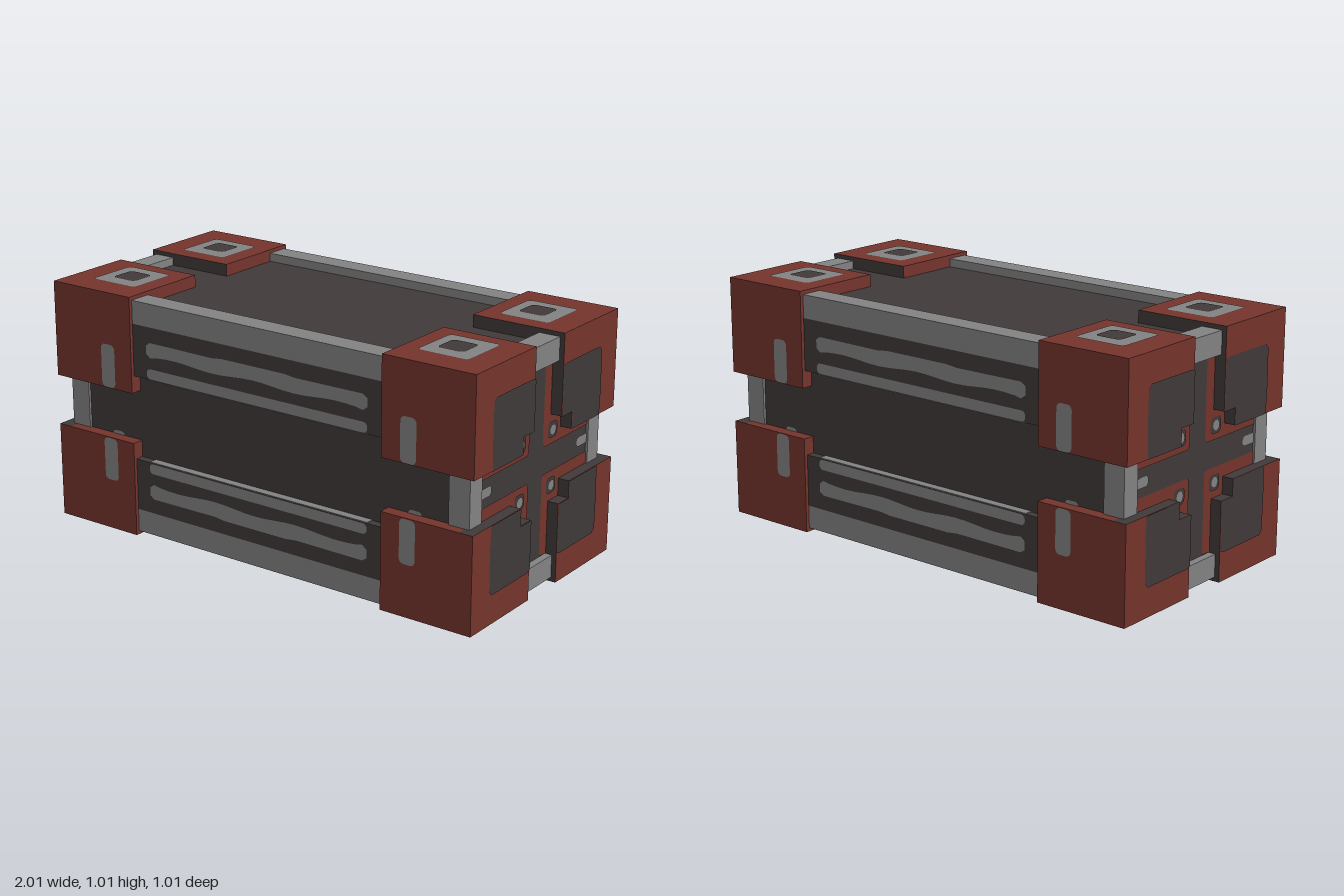
import * as THREE from 'three';

const red = new THREE.MeshStandardMaterial({ color: 0x74342c, name: 'rust red' });
const gray = new THREE.MeshStandardMaterial({ color: 0x828282, name: 'steel gray' });
const dark = new THREE.MeshStandardMaterial({ color: 0x403a39, name: 'charcoal' });
const SIGNS = [1, -1];

// Box between two corners, given relative to the crate centre
function box(parent, name, material, a, b) {
  const size = a.map((v, i) => Math.abs(b[i] - v));
  const mesh = new THREE.Mesh(new THREE.BoxGeometry(...size), material);
  mesh.position.set(...a.map((v, i) => (v + b[i]) / 2));
  mesh.name = name;
  parent.add(mesh);
  return mesh;
}

// Flat painted face lying at a given depth
function paint(parent, name, material, shape, depth) {
  const mesh = new THREE.Mesh(new THREE.ShapeGeometry(shape, 6), material);
  mesh.position.z = depth;
  mesh.name = name;
  parent.add(mesh);
}

function polygon(points, su, sv) {
  return new THREE.Shape(points.map(([u, v]) => new THREE.Vector2(u * su, v * sv)));
}

// Rounded rectangle mirrored into a quadrant by su, sv
function rounded(u0, v0, u1, v1, r, su = 1, sv = 1) {
  const pts = [];
  const corners = [[u1 - r, v1 - r], [u0 + r, v1 - r], [u0 + r, v0 + r], [u1 - r, v0 + r]];
  corners.forEach(([u, v], c) => {
    for (let i = 0; i <= 4; i++) {
      const t = (c + i / 4) * Math.PI / 2;
      pts.push([u + r * Math.cos(t), v + r * Math.sin(t)]);
    }
  });
  return polygon(pts, su, sv);
}

// Worn stripe whose lower edge ripples
function wavyStripe(sv) {
  const pts = [[-0.53, 0.28], [-0.51, 0.265]];
  for (let i = 0; i <= 20; i++) {
    const u = -0.48 + i * 0.048;
    pts.push([u, 0.27 + 0.006 * Math.cos(u * 16)]);
  }
  pts.push([0.51, 0.265], [0.53, 0.28], [0.53, 0.315], [0.51, 0.328],
    [0.2, 0.326], [0.15, 0.332], [-0.15, 0.332], [-0.2, 0.326], [-0.51, 0.328], [-0.53, 0.315]);
  return polygon(pts, 1, sv);
}

function addFace(parent, name, rx, ry) {
  const face = new THREE.Group();
  face.name = name;
  face.rotation.set(rx, ry, 0);
  parent.add(face);
  return face;
}

// Long sides: stripes and the tabs on the corner blocks
function paintLongSide(face) {
  for (const sv of SIGNS) {
    paint(face, 'wornStripe', gray, wavyStripe(sv), 0.488);
    paint(face, 'edgeStripe', gray, rounded(-0.53, 0.178, 0.53, 0.22, 0.018, 1, sv), 0.488);
    for (const su of SIGNS) {
      paint(face, 'cornerTab', gray, rounded(0.685, 0.108, 0.755, 0.287, 0.02, su, sv), 0.503);
      paint(face, 'tabTip', gray, rounded(0.69, 0.09, 0.75, 0.13, 0.015, su, sv), 0.453);
    }
  }
}

// Top and bottom: framed sockets on the corner blocks
function paintCap(face) {
  for (const su of SIGNS) for (const sv of SIGNS) {
    paint(face, 'socketFrame', gray, rounded(0.673, 0.165, 0.892, 0.388, 0.02, su, sv), 0.503);
    paint(face, 'socketCentre', dark, rounded(0.722, 0.222, 0.835, 0.333, 0.02, su, sv), 0.506);
  }
}

// Ends: dark block panels, red cross border, bolts
function paintEnd(face) {
  for (const su of SIGNS) {
    paint(face, 'pillarMark', gray, rounded(0.305, -0.02, 0.385, 0.02, 0.015, su), 0.953);
    for (const sv of SIGNS) {
      paint(face, 'blockPanel', dark, polygon([[0.175, 0.105], [0.38, 0.105], [0.385, 0.2],
        [0.383, 0.365], [0.365, 0.382], [0.12, 0.382], [0.1, 0.375], [0.1, 0.175],
        [0.175, 0.175]], su, sv), 1.003);
      paint(face, 'crossBorder', red, polygon([[0.06, 0.055], [0.38, 0.055], [0.38, 0.12],
        [0.19, 0.12], [0.19, 0.19], [0.12, 0.19], [0.12, 0.39], [0.05, 0.385],
        [0.05, 0.065]], su, sv), 0.953);
      paint(face, 'boltRing', dark, rounded(0.08, 0.08, 0.147, 0.145, 0.02, su, sv), 0.956);
      const bolt = new THREE.Shape().absarc(su * 0.113, sv * 0.112, 0.022, 0, Math.PI * 2);
      paint(face, 'bolt', gray, bolt, 0.959);
    }
  }
}

// Corner block with a notch cut from the inner corner of its end
function addCornerBlock(parent, sx, sy, sz) {
  const block = new THREE.Group();
  block.name = 'cornerBlock';
  parent.add(block);
  // Inward z faces are dark, the rest red
  const skin = [red, red, red, red, sz > 0 ? red : dark, sz > 0 ? dark : red];
  const capSkin = skin.slice();
  capSkin[sy > 0 ? 3 : 2] = dark;
  const part = (name, mat, a, b) => box(block, name, mat,
    [a[0] * sx, a[1] * sy, a[2] * sz], [b[0] * sx, b[1] * sy, b[2] * sz]);
  part('blockBody', skin, [0.6, 0.105, 0.1], [0.94, 0.5, 0.5]);
  part('blockEndOuter', capSkin, [0.94, 0.105, 0.175], [1, 0.5, 0.5]);
  part('blockEndInner', capSkin, [0.94, 0.175, 0.1], [1, 0.5, 0.175]);
}

export function createModel() {
  const model = new THREE.Group();
  model.name = 'crate';
  const crate = new THREE.Group();
  crate.name = 'crateParts';
  crate.position.y = 0.5;
  model.add(crate);

  box(crate, 'body', dark, [-0.95, -0.45, -0.45], [0.95, 0.45, 0.45]);

  for (const sx of SIGNS) for (const sy of SIGNS) for (const sz of SIGNS) {
    addCornerBlock(crate, sx, sy, sz);
  }

  // Long edge beams with raised side bands
  for (const sy of SIGNS) for (const sz of SIGNS) {
    box(crate, 'edgeBeam', gray, [-0.61, sy * 0.39, sz * 0.39], [0.61, sy * 0.485, sz * 0.485]);
    box(crate, 'sideBand', dark, [-0.61, sy * 0.175, sz * 0.4], [0.61, sy * 0.39, sz * 0.485]);
    box(crate, 'bandLedge', gray, [-0.53, sy * 0.172, sz * 0.44], [0.53, sy * 0.18, sz * 0.484]);
  }

  // End beams and corner pillars showing between the blocks
  for (const sx of SIGNS) for (const s of SIGNS) {
    box(crate, 'endBeam', gray, [sx * 0.89, s * 0.39, -0.11], [sx * 0.98, s * 0.483, 0.11]);
    box(crate, 'cornerPillar', gray, [sx * 0.87, -0.12, s * 0.38], [sx * 0.96, 0.12, s * 0.46]);
  }

  // Painted details
  paintLongSide(addFace(crate, 'frontPaint', 0, 0));
  paintLongSide(addFace(crate, 'backPaint', 0, Math.PI));
  paintCap(addFace(crate, 'topPaint', -Math.PI / 2, 0));
  paintCap(addFace(crate, 'bottomPaint', Math.PI / 2, 0));
  paintEnd(addFace(crate, 'leftEndPaint', 0, Math.PI / 2));
  paintEnd(addFace(crate, 'rightEndPaint', 0, -Math.PI / 2));
  return model;
}
